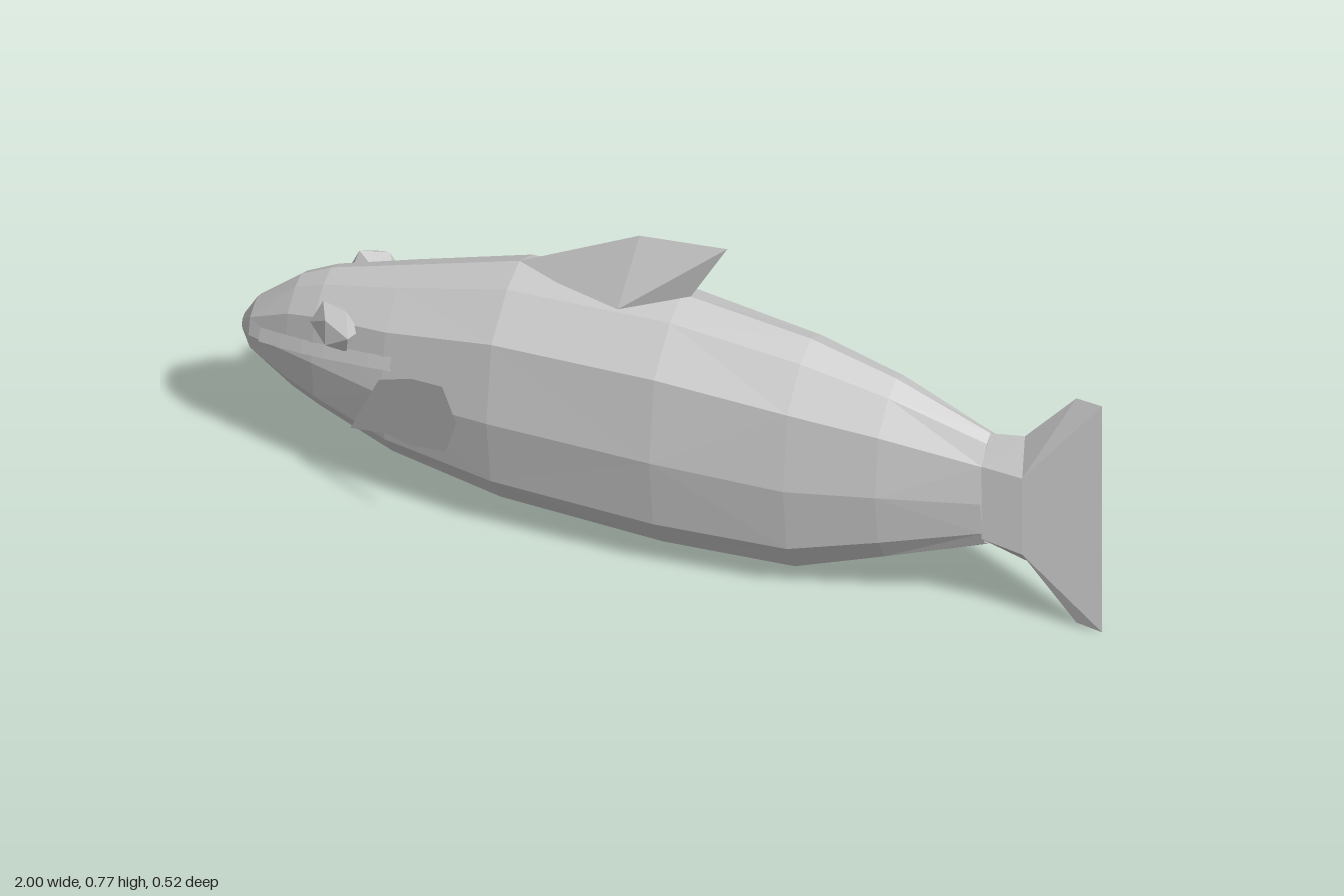
import * as THREE from 'three';

const material = new THREE.MeshStandardMaterial({
  color: 0xcccccc, flatShading: true, side: THREE.DoubleSide,
});

// Body stations: x, belly height, back height, half width
const stations = [
  [-1, 0.27, 0.31, 0.02], [-0.97, 0.23, 0.36, 0.055], [-0.87, 0.165, 0.445, 0.09],
  [-0.8, 0.135, 0.48, 0.112], [-0.62, 0.07, 0.535, 0.155], [-0.36, 0.022, 0.615, 0.188],
  [0.02, 0.003, 0.63, 0.188], [0.32, 0.01, 0.592, 0.158], [0.52, 0.085, 0.54, 0.122],
  [0.74, 0.165, 0.455, 0.058],
];
// Half section: relative height, relative width, from back to belly
const section = [[1, 0], [0.95, 0.38], [0.8, 0.85], [0.48, 1], [0.2, 0.87], [0.07, 0.57], [0, 0]];
const ring = [
  ...section,
  ...section.slice(1, -1).reverse().map(([t, w]) => [t, -w]),
];

function facets(name, points, triangles) {
  const g = new THREE.BufferGeometry();
  g.setAttribute('position', new THREE.Float32BufferAttribute(points.flat(), 3));
  g.setIndex(triangles.flat());
  const flat = g.toNonIndexed();
  flat.computeVertexNormals();
  const mesh = new THREE.Mesh(flat, material);
  mesh.name = name;
  return mesh;
}

// Piecewise linear lookup
function lerpTable(rows, key, value, at) {
  for (let i = 0; i < rows.length - 1; i++) {
    const [a, b] = [rows[i], rows[i + 1]];
    const k = (at - a[key]) / (b[key] - a[key]);
    if (k >= 0 && k <= 1) return a[value] + k * (b[value] - a[value]);
  }
  return 0;
}

// Half width of the body at a point on its side
function sideZ(x, y) {
  const [lo, hi, w] = [1, 2, 3].map((v) => lerpTable(stations, 0, v, x));
  return w * lerpTable(section, 0, 1, (y - lo) / (hi - lo));
}

function makeBody() {
  const n = ring.length;
  const last = stations.length - 1;
  const points = stations.flatMap(([x, lo, hi, w]) =>
    ring.map(([t, s]) => [x, lo + t * (hi - lo), s * w]));
  const triangles = [];
  for (let i = 0; i < last; i++) {
    for (let j = 0; j < n; j++) {
      const a = i * n + j, b = i * n + (j + 1) % n, c = b + n, d = a + n;
      // Diagonals mirror left to right and alternate along the body
      if ((i + j + (j >= n / 2 ? 1 : 0)) % 2) triangles.push([a, b, c], [a, c, d]);
      else triangles.push([a, b, d], [b, c, d]);
    }
  }
  for (let j = 1; j < n - 1; j++) {
    triangles.push([0, j + 1, j], [last * n, last * n + j, last * n + j + 1]);
  }
  return facets('body', points, triangles);
}

function makeDorsalFin() {
  const points = [
    [-0.38, 0.605, 0], [-0.1, 0.605, 0.075], [0.04, 0.628, 0],
    [-0.1, 0.605, -0.075], [-0.08, 0.756, 0], [0.125, 0.775, 0],
  ];
  return facets('dorsalFin', points,
    [[0, 1, 4], [1, 5, 4], [1, 2, 5], [0, 4, 3], [3, 4, 5], [3, 5, 2]]);
}

// Tail tapering to a sharp rear edge
function makeTail() {
  const outline = [
    [0.74, 0.455, 0], [0.82, 0.468, 0], [0.94, 0.6, 0], [1, 0.595, 0],
    [1, 0, 0], [0.94, 0.01, 0], [0.83, 0.14, 0], [0.74, 0.165, 0],
  ];
  const cheek = [[0.74, 0.4, 0.052], [0.83, 0.385, 0.04], [0.83, 0.185, 0.04], [0.74, 0.21, 0.052]];
  const points = [...outline, ...cheek, ...cheek.map(([x, y, z]) => [x, y, -z])];
  const right = [
    [0, 1, 8], [8, 1, 9], [9, 1, 2], [9, 2, 3], [9, 3, 4], [9, 4, 10],
    [10, 4, 5], [10, 5, 6], [10, 6, 11], [11, 6, 7], [8, 9, 10], [8, 10, 11],
  ];
  const far = (i) => (i > 7 ? i + 4 : i);
  return facets('tail', points, [
    ...right.map(([a, b, c]) => [a, c, b]),
    ...right.map((t) => t.map(far)),
  ]);
}

// Thin side fin flaring away from the body
function makePectoralFin() {
  const outline = [
    [-0.7, 0.17], [-0.6, 0.21], [-0.53, 0.217], [-0.43, 0.255],
    [-0.4, 0.345], [-0.44, 0.42], [-0.53, 0.392], [-0.62, 0.34],
  ];
  const g = new THREE.ShapeGeometry(new THREE.Shape(outline.map((p) => new THREE.Vector2(...p))));
  const p = g.attributes.position;
  for (let i = 0; i < p.count; i++) p.setZ(i, 0.167 + (p.getX(i) + 0.62) * 0.43);
  g.computeVertexNormals();
  const mesh = new THREE.Mesh(g, material);
  mesh.name = 'pectoralFin';
  return mesh;
}

function makeEye() {
  const mesh = new THREE.Mesh(new THREE.IcosahedronGeometry(0.062, 0), material);
  mesh.name = 'eye';
  mesh.scale.z = 0.62;
  mesh.position.set(-0.745, 0.412, 0.112);
  mesh.rotation.y = -0.3;
  return mesh;
}

// Slim lip ridge along the mouth line
function makeLip() {
  const points = [], triangles = [];
  const steps = 6;
  for (let i = 0; i <= steps; i++) {
    const x = -0.94 + 0.34 * i / steps;
    const y = 0.295 + 0.065 * i / steps;
    const z = sideZ(x, y);
    points.push([x, y + 0.03, z - 0.004], [x, y, z + 0.007], [x, y - 0.002, z - 0.01]);
    if (i === steps) break;
    for (let j = 0; j < 2; j++) {
      const a = i * 3 + j;
      triangles.push([a, a + 1, a + 4], [a, a + 4, a + 3]);
    }
  }
  return facets('lip', points, triangles);
}

export function createModel() {
  const model = new THREE.Group();
  model.name = 'fish';
  const fish = new THREE.Group();
  fish.name = 'fishParts';
  fish.position.z = -0.007;
  fish.add(makeBody(), makeDorsalFin(), makeTail());

  // Paired parts, mirrored across the body
  for (const side of [1, -1]) {
    const pair = new THREE.Group();
    pair.name = side > 0 ? 'frontSideParts' : 'backSideParts';
    pair.scale.z = side;
    pair.add(makeEye(), makePectoralFin(), makeLip());
    fish.add(pair);
  }
  model.add(fish);
  return model;
}
